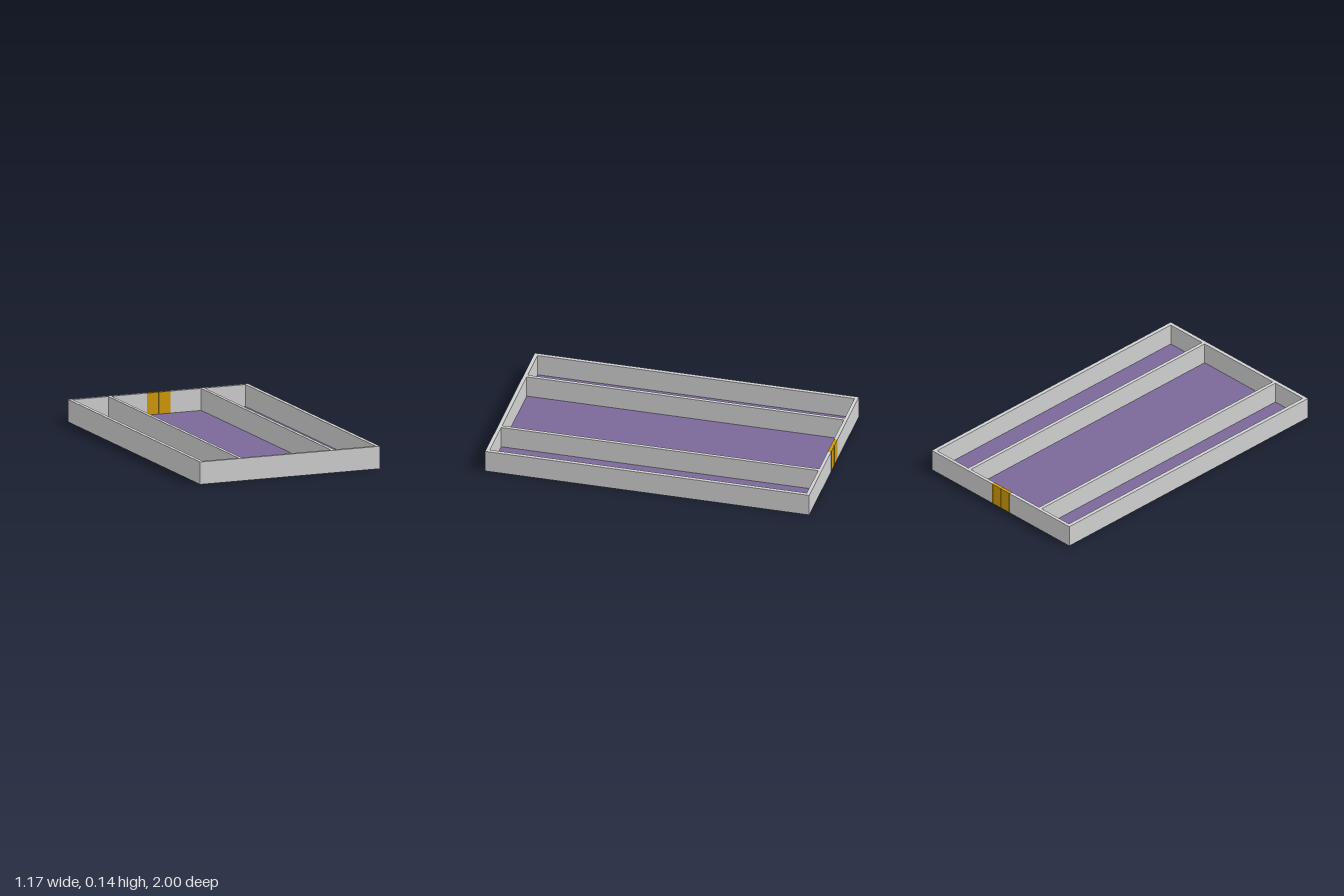
import * as THREE from 'three';

export function createModel() {
  const group = new THREE.Group();
  group.name = 'building';

  const mat = (name, color) => {
    const m = new THREE.MeshStandardMaterial({ color });
    m.name = name;
    return m;
  };
  const wall = mat('wall grey', 0xd0d0d0);
  const floor = mat('floor purple', 0x7b6998);
  const gold = mat('door gold', 0xd09a08);

  // Box given by its limits on each axis
  const box = (name, material, [x0, x1], [y0, y1], [z0, z1], parent = group) => {
    const mesh = new THREE.Mesh(new THREE.BoxGeometry(x1 - x0, y1 - y0, z1 - z0), material);
    mesh.position.set((x0 + x1) / 2, (y0 + y1) / 2, (z0 + z1) / 2);
    mesh.name = name;
    parent.add(mesh);
  };

  const W = 0.585, IN = 0.561, H = 0.137, L = 1, BACK = -0.979, FRONT = 0.977;
  const full = [0, H];
  const door = [-0.08, 0.073];

  // Outer walls, with the back wall open at the doorway
  box('rightWall', wall, [-W, -IN], full, [-L, L]);
  box('leftWall', wall, [IN, W], full, [-L, L]);
  box('frontWall', wall, [-IN, IN], full, [FRONT, L]);
  box('backWallRight', wall, [-IN, door[0]], full, [-L, BACK]);
  box('backWallLeft', wall, [door[1], IN], full, [-L, BACK]);

  // Long inner partitions
  const partitions = [[-0.329, -0.307], [0.273, 0.295]];
  partitions.forEach((x, i) => box('partition' + (i + 1), wall, x, full, [BACK, FRONT]));

  // Floor of each of the three rooms
  const rooms = [[-IN, -0.329], [-0.307, 0.273], [0.295, IN]];
  rooms.forEach((x, i) => box('floor' + (i + 1), floor, x, [0, 0.003], [BACK, FRONT]));

  // Double door: a recessed core carrying two jambs and two leaves
  const doorGroup = new THREE.Group();
  doorGroup.name = 'doubleDoor';
  group.add(doorGroup);
  const mid = (door[0] + door[1]) / 2;
  box('doorCore', gold, door, full, [-0.996, -0.983], doorGroup);
  const strips = {
    jambRight: [door[0], door[0] + 0.006],
    leafRight: [door[0] + 0.008, mid - 0.002],
    leafLeft: [mid + 0.002, door[1] - 0.008],
    jambLeft: [door[1] - 0.006, door[1]],
  };
  for (const [name, x] of Object.entries(strips)) box(name, gold, x, full, [-L, BACK], doorGroup);

  return group;
}
